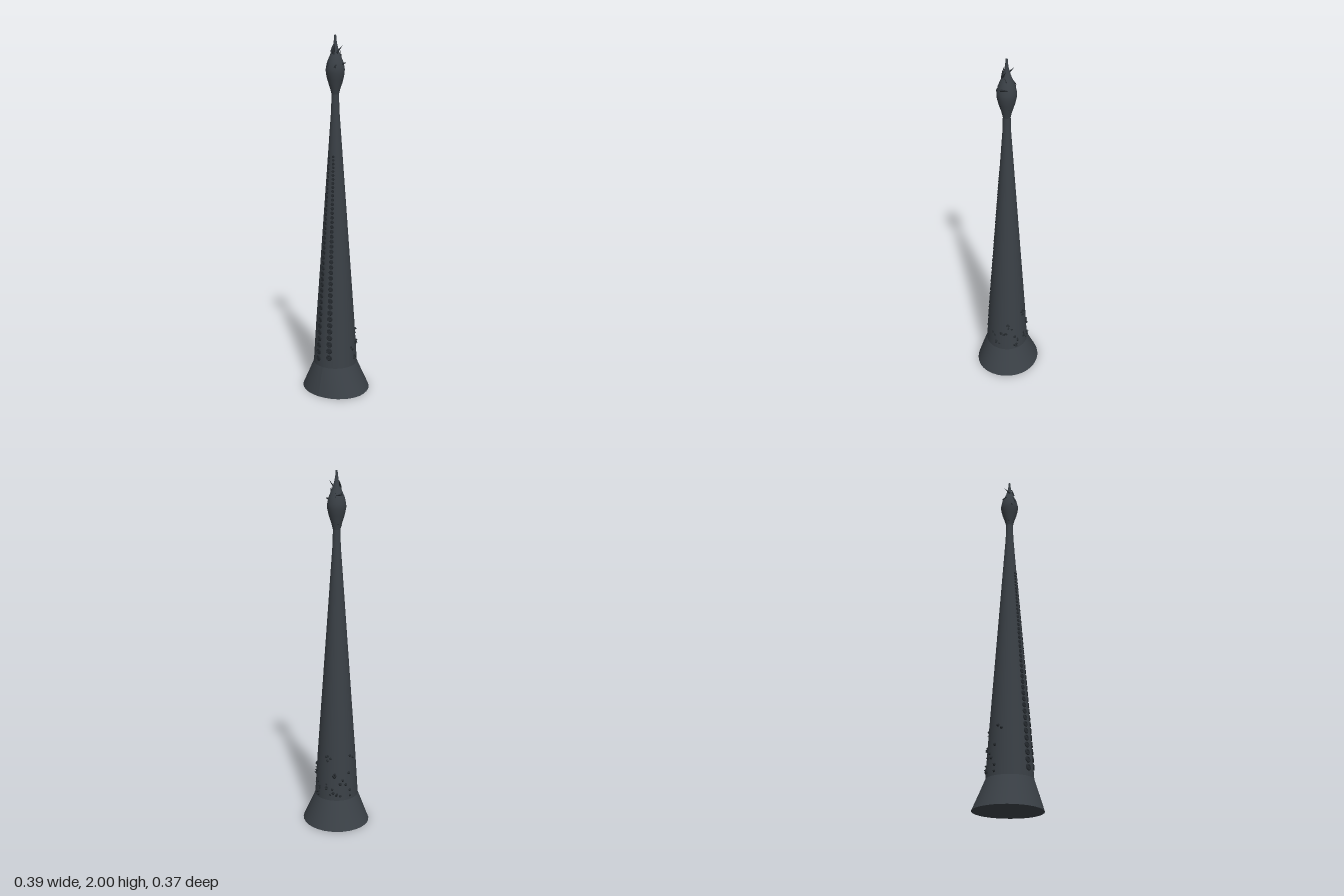
import * as THREE from 'three';

const mat = (name, color, extra = {}) => Object.assign(new THREE.MeshStandardMaterial({ color, ...extra }), { name });
const CZ = 0.01; // the stalk axis sits slightly forward
const UP = new THREE.Vector3(0, 1, 0), OUT = new THREE.Vector3(0, 0, 1);

// radius and height of the stalk and the bulb
const STALK = [[0.125, 0.16], [0.11, 0.4], [0.081, 0.8], [0.052, 1.2], [0.023, 1.6], [0.02, 1.69]];
const BULB = [[0.02, 1.69], [0.027, 1.72], [0.042, 1.765], [0.05, 1.8], [0.051, 1.825], [0.044, 1.86],
  [0.031, 1.89], [0.019, 1.92], [0.011, 1.95], [0.007, 1.975], [0.005, 2], [0, 2]];

function radiusAt(profile, y) {
  for (let i = 1; i < profile.length; i++) {
    const [r0, y0] = profile[i - 1], [r1, y1] = profile[i];
    if (y <= y1) return r0 + (r1 - r0) * (y - y0) / (y1 - y0);
  }
  return profile[profile.length - 1][0];
}

// point on the surface; angle 0 faces the front, positive turns to +x
function surfacePoint(profile, angle, y, sink = 0) {
  const r = radiusAt(profile, y) - sink;
  return new THREE.Vector3(Math.sin(angle) * r, y, CZ + Math.cos(angle) * r);
}

const lathe = (points) => new THREE.LatheGeometry(points.map(([r, y]) => new THREE.Vector2(r, y)), 32);

// curved thorn along +y, drooping toward -z at the tip
function thornGeometry() {
  const geo = new THREE.ConeGeometry(1, 1, 6, 5, true).translate(0, 0.5, 0);
  const p = geo.attributes.position;
  for (let i = 0; i < p.count; i++) {
    const t = p.getY(i);
    p.setXYZ(i, p.getX(i) * 0.01, t, p.getZ(i) * 0.01 - 0.014 * t * t);
  }
  geo.computeVertexNormals();
  return geo;
}

export function createModel() {
  const model = new THREE.Group();
  model.name = 'tentacle';
  const skin = mat('dark slate skin', 0x3a4046);
  const dark = mat('near black growths', 0x262b30);
  const darkFlat = mat('near black shell', 0x24292d, { flatShading: true });

  const add = (name, geo, material, parent = model) => {
    const mesh = new THREE.Mesh(geo, material);
    mesh.name = name;
    parent.add(mesh);
    return mesh;
  };
  const group = (name) => {
    const g = new THREE.Group();
    g.name = name;
    model.add(g);
    return g;
  };

  // flared foot with a flatter front, closed underneath
  const foot = lathe([[0, 0], [0.197, 0]]);
  const flare = lathe([[0.197, 0], [0.16, 0.08], [0.125, 0.16]]);
  for (const geo of [foot, flare]) {
    const p = geo.attributes.position;
    for (let i = 0; i < p.count; i++) {
      const z = p.getZ(i), k = 1 - Math.min(p.getY(i) / 0.16, 1);
      p.setZ(i, CZ + z * (1 - (z > 0 ? 0.125 : 0.015) * k));
    }
    geo.computeVertexNormals();
  }
  add('footUnderside', foot, skin);
  add('flaredFoot', flare, skin);

  // long tapering stalk and bulb with its pointed tip
  add('stalk', lathe(STALK), skin).position.z = CZ;
  add('bulb', lathe(BULB), skin).position.z = CZ;

  // two staggered rows of suckers that shrink going up
  const suckers = group('suckers');
  const ring = new THREE.TorusGeometry(0.7, 0.32, 6, 10);
  const pad = new THREE.SphereGeometry(0.6, 8, 4, 0, Math.PI * 2, 0, Math.PI / 2).rotateX(Math.PI / 2).scale(1, 1, 0.4);
  for (const side of [-1, 1]) {
    let y = side < 0 ? 0.205 : 0.222;
    while (y < 1.37) {
      const t = (y - 0.2) / 1.17, size = 0.018 - 0.011 * t;
      const angle = side * (0.3 + 0.04 * t);
      const cup = new THREE.Group();
      cup.name = 'sucker';
      cup.position.copy(surfacePoint(STALK, angle, y));
      cup.quaternion.setFromUnitVectors(OUT, new THREE.Vector3(Math.sin(angle), 0.07, Math.cos(angle)).normalize());
      cup.scale.setScalar(size);
      add('suckerRim', ring, dark, cup);
      add('suckerPad', pad, dark, cup);
      suckers.add(cup);
      y += 0.04 - 0.021 * t;
    }
  }

  // thorns around the bulb: angle, height, length
  const thorns = group('thorns');
  const thorn = thornGeometry();
  const list = [[-1.0, 1.91, 0.05], [1.0, 1.905, 0.05], [3.1, 1.92, 0.045], [0.15, 1.9, 0.05],
    [-1.7, 1.875, 0.03], [2.3, 1.885, 0.035], [1.55, 1.85, 0.045], [-0.35, 1.835, 0.04],
    [-2.8, 1.835, 0.055], [0.55, 1.83, 0.025], [-0.8, 1.81, 0.035], [1.3, 1.765, 0.04],
    [2.6, 1.745, 0.03], [-1.15, 1.715, 0.035], [-2.4, 1.72, 0.03]];
  for (const [angle, y, length] of list) {
    const m = add('thorn', thorn, dark, thorns);
    m.position.copy(surfacePoint(BULB, angle, y, 0.004));
    const dir = new THREE.Vector3(Math.sin(angle), y > 1.8 ? 0.15 : -0.25, Math.cos(angle)).normalize();
    const side = new THREE.Vector3().crossVectors(dir, UP).normalize();
    const back = new THREE.Vector3().crossVectors(side, dir);
    m.quaternion.setFromRotationMatrix(new THREE.Matrix4().makeBasis(side.negate(), dir, back));
    m.scale.set(0.9, length + 0.01, 0.9);
  }

  // small shells scattered in clusters round the sides and back, denser low down
  const shells = group('barnacles');
  const shell = new THREE.ConeGeometry(1, 1.3, 5).translate(0, 0.35, 0);
  let seed = 11;
  const rand = () => (seed = (seed * 16807) % 2147483647) / 2147483647;
  for (let c = 0; c < 20; c++) {
    const a0 = Math.PI / 2 + (c + rand() * 0.8) / 20 * Math.PI;
    const y0 = 0.175 + 0.25 * Math.pow(rand(), 1.4);
    const count = 1 + Math.floor(rand() * 3.4);
    for (let i = 0; i < count; i++) {
      const angle = a0 + (rand() - 0.5) * 0.26;
      const y = Math.max(0.168, y0 + (rand() - 0.5) * 0.04);
      const m = add('barnacle', shell, darkFlat, shells);
      m.position.copy(surfacePoint(STALK, angle, y));
      m.quaternion.setFromUnitVectors(UP, new THREE.Vector3(Math.sin(angle), 0.07, Math.cos(angle)).normalize());
      m.scale.setScalar(0.008 + rand() * 0.005);
    }
  }
  return model;
}
